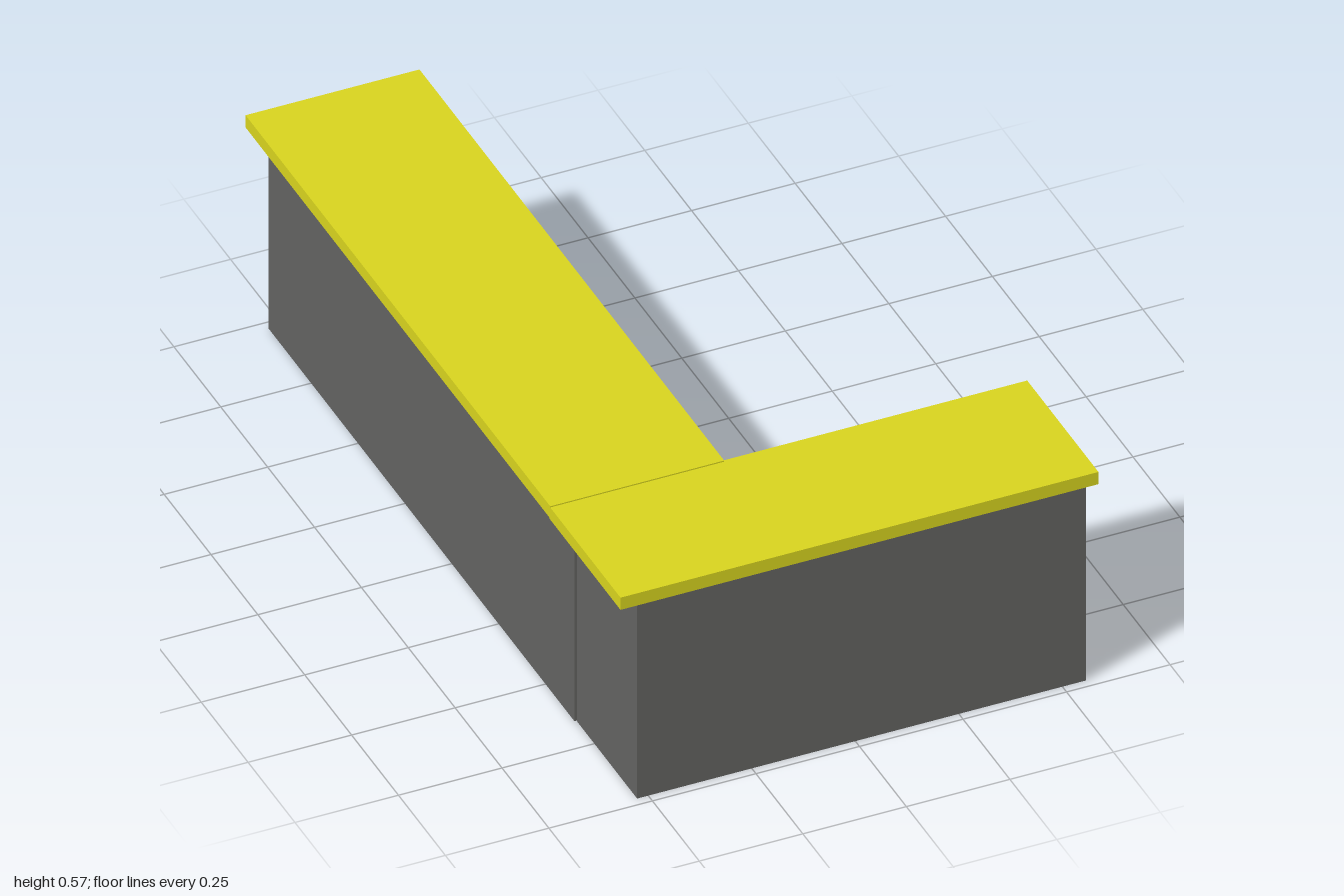
import * as THREE from 'three';

export function createModel() {
  const group = new THREE.Group();
  const yellow = new THREE.MeshStandardMaterial({ color: 0xd8d41e });
  const grey = new THREE.MeshStandardMaterial({ color: 0x636361 });

  // Box given by its limits along each axis
  function block(name, material, [x0, x1], [y0, y1], [z0, z1]) {
    const geometry = new THREE.BoxGeometry(x1 - x0, y1 - y0, z1 - z0);
    const mesh = new THREE.Mesh(geometry, material);
    mesh.position.set((x0 + x1) / 2, (y0 + y1) / 2, (z0 + z1) / 2);
    mesh.name = name;
    group.add(mesh);
  }

  // Short front wing of the L-shaped counter
  block('frontBase', grey, [-0.527, 0.557], [0, 0.539], [0.657, 0.978]);
  block('frontCountertop', yellow, [-0.577, 0.577], [0.539, 0.572], [0.62, 1]);

  // Long side wing, its top a touch higher than the front one
  block('sideBase', grey, [-0.533, -0.2], [0.002, 0.542], [-0.976, 0.657]);
  block('sideCountertop', yellow, [-0.577, -0.157], [0.542, 0.575], [-1, 0.625]);

  return group;
}
